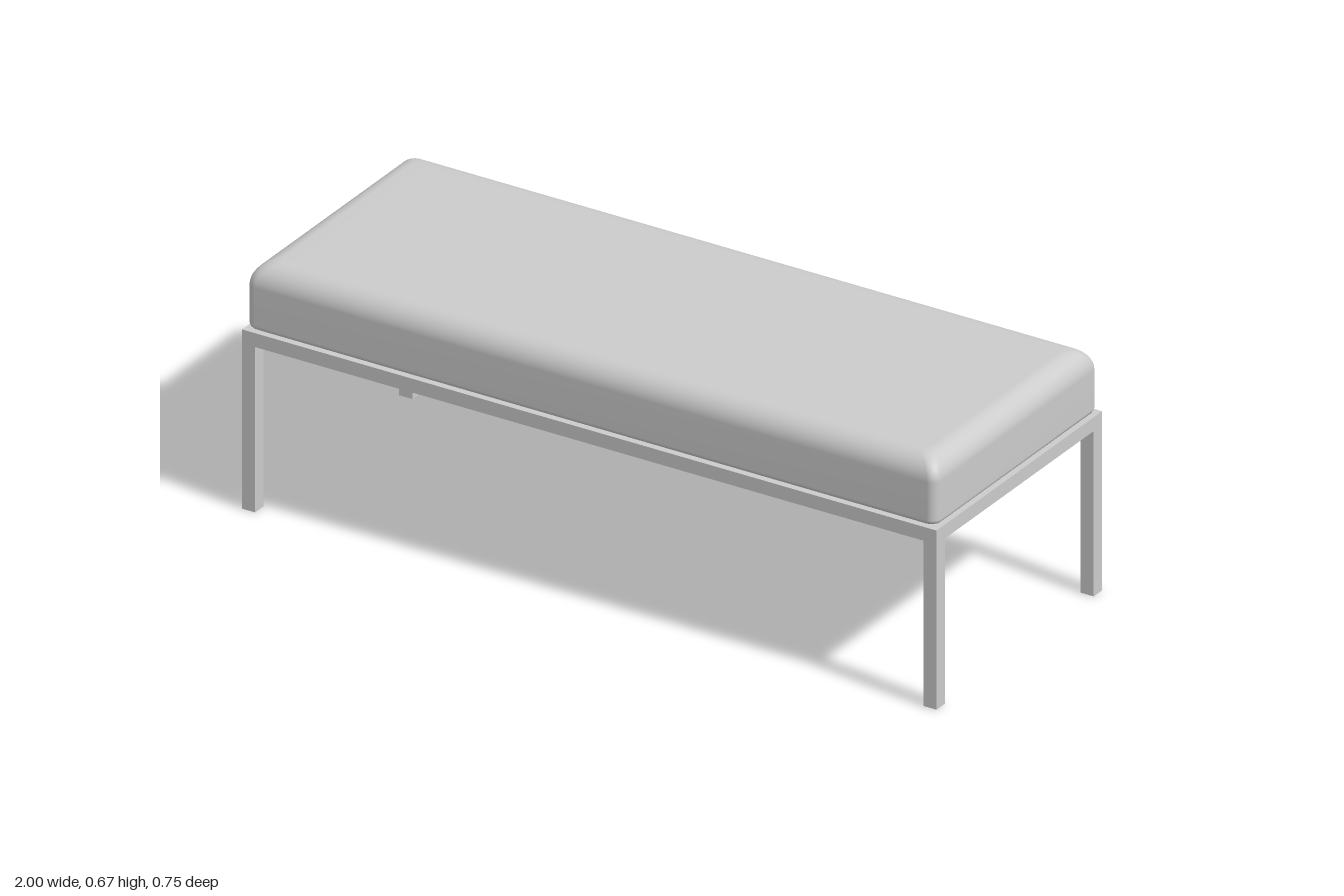
import * as THREE from 'three';

const W = 1, D = 0.376, TOP = 0.49, BAR = 0.038;

// Closed body from stacked rounded rectangles; rings are [inset, y], bottom to top
function roundedStack(halfX, halfZ, cornerR, rings, seg = 6) {
  const positions = [], index = [], n = 4 * (seg + 1);
  for (const [inset, y] of rings) {
    const hx = halfX - inset, hz = Math.max(halfZ - inset, 0), r = Math.min(cornerR, hz);
    for (let c = 0; c < 4; c++) {
      const sx = c === 0 || c === 3 ? 1 : -1, sz = c < 2 ? 1 : -1;
      for (let i = 0; i <= seg; i++) {
        const a = (c + i / seg) * Math.PI / 2;
        positions.push(sx * (hx - r) + r * Math.cos(a), y, sz * (hz - r) + r * Math.sin(a));
      }
    }
  }
  for (let k = 0; k < rings.length - 1; k++) {
    for (let j = 0; j < n; j++) {
      const a = k * n + j, b = k * n + (j + 1) % n;
      index.push(a, a + n, b, b, a + n, b + n);
    }
  }
  const geometry = new THREE.BufferGeometry();
  geometry.setAttribute('position', new THREE.Float32BufferAttribute(positions, 3));
  geometry.setIndex(index);
  geometry.computeVertexNormals();
  return geometry;
}

export function createModel() {
  const group = new THREE.Group();
  const material = new THREE.MeshStandardMaterial({ color: 0xcccccc });

  function box(name, sx, sy, sz, x, y, z) {
    const mesh = new THREE.Mesh(new THREE.BoxGeometry(sx, sy, sz), material);
    mesh.name = name;
    mesh.position.set(x, y, z);
    group.add(mesh);
  }

  // Square-tube legs and the rails between them
  const lx = W - BAR / 2, lz = D - BAR / 2, railY = TOP - BAR / 2;
  for (const [sx, side] of [[1, 'Left'], [-1, 'Right']]) {
    for (const [sz, end] of [[1, 'front'], [-1, 'back']]) {
      box(`${end}${side}Leg`, BAR, TOP, BAR, sx * lx, TOP / 2, sz * lz);
    }
    box(`${side.toLowerCase()}Rail`, BAR, BAR, 2 * (D - BAR), sx * lx, railY, 0);
  }
  box('frontRail', 2 * (W - BAR), BAR, BAR, 0, railY, lz);
  box('backRail', 2 * (W - BAR), BAR, BAR, 0, railY, -lz);

  // Cushion: tight lower edge, generous upper edge, flat top and bottom
  const halfZ = 0.37, bottom = TOP + 0.001, top = 0.67, rLow = 0.015, rTop = 0.06;
  const rings = [[halfZ, bottom], [0.05, bottom]];
  for (let i = 0; i <= 4; i++) {
    const a = i / 4 * Math.PI / 2;
    rings.push([rLow * (1 - Math.sin(a)), bottom + rLow * (1 - Math.cos(a))]);
  }
  for (let i = 0; i <= 10; i++) {
    const a = i / 10 * Math.PI / 2;
    rings.push([rTop * (1 - Math.cos(a)), top - rTop * (1 - Math.sin(a))]);
  }
  rings.push([0.1, top], [halfZ, top]);
  const cushion = new THREE.Mesh(roundedStack(0.993, halfZ, 0.025, rings), material);
  cushion.name = 'cushion';
  group.add(cushion);

  return group;
}
